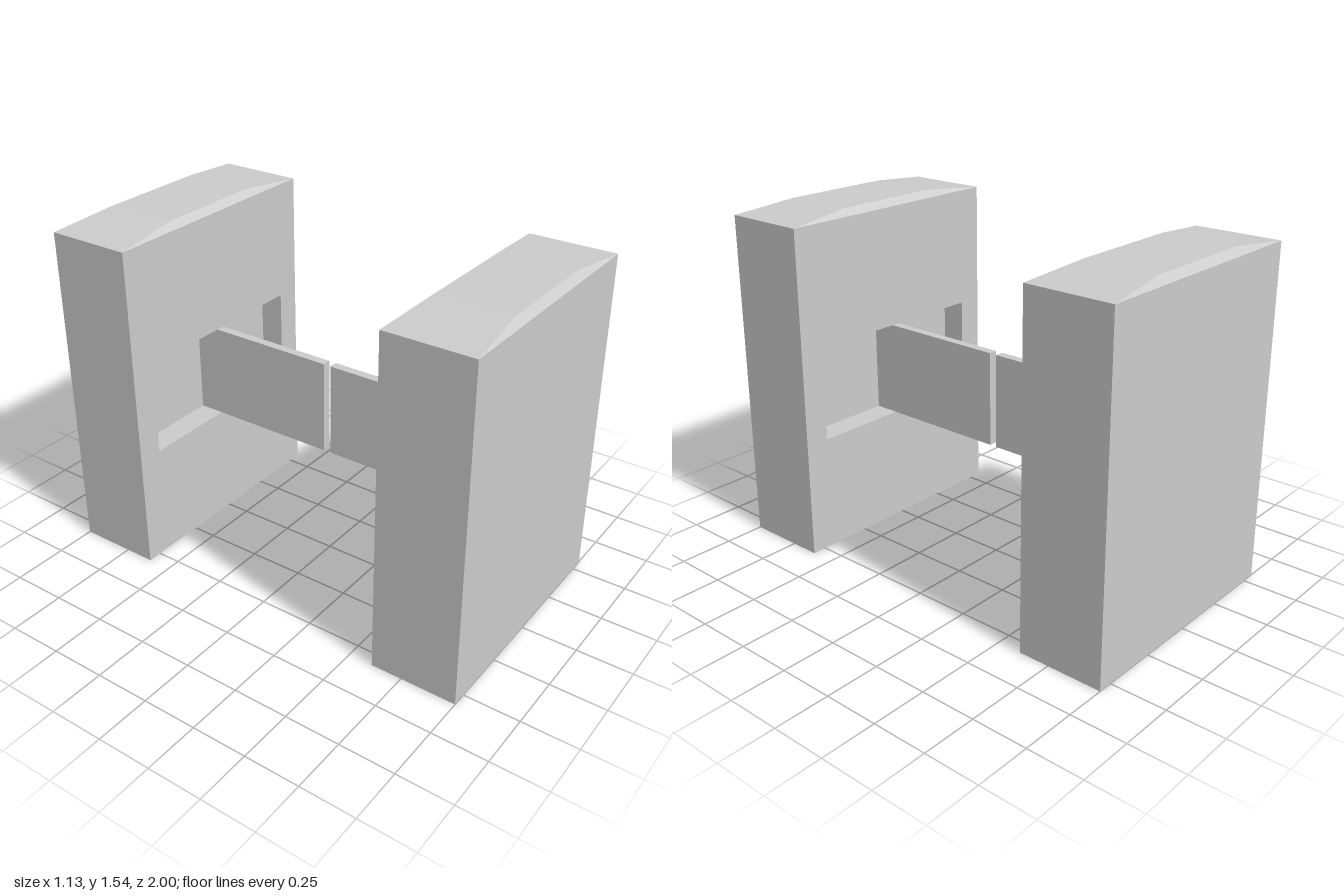
import * as THREE from 'three';

const W = 0.565;                 // half width of a cabinet
const INNER = 0.61, OUTER = 1;   // cabinet depth range
const H = 1.51, RIDGE = 1.54;    // wall height, lid height
const SLOT = { x: 0.45, y0: 0.53, y1: 0.96, z: 0.725 };

const material = new THREE.MeshStandardMaterial({ color: 0xcccccc, flatShading: true });

// Rectangular cross-section at depth z, counter-clockwise seen from +z
const ring = (hx, y0, y1, z) => [[-hx, y0, z], [hx, y0, z], [hx, y1, z], [-hx, y1, z]];

// Joins rectangular rings; the start cap is optional, the end is always closed
function loft(rings, capStart) {
  const pos = [];
  const quad = (a, b, c, d) => [a, b, c, a, c, d].forEach((p) => pos.push(...p));
  for (let r = 0; r < rings.length - 1; r++) {
    const a = rings[r], b = rings[r + 1];
    for (let i = 0; i < 4; i++) {
      const j = (i + 1) % 4;
      quad(a[i], a[j], b[j], b[i]);
    }
  }
  if (capStart) quad(...[...rings[0]].reverse());
  quad(...rings[rings.length - 1]);
  const geo = new THREE.BufferGeometry();
  geo.setAttribute('position', new THREE.Float32BufferAttribute(pos, 3));
  geo.computeVertexNormals();
  return geo;
}

function part(geo, name) {
  const mesh = new THREE.Mesh(geo, material);
  mesh.name = name;
  return mesh;
}

function createGate(name) {
  const gate = new THREE.Group();
  gate.name = name;

  // Cabinet: recess back, recess mouth, inner face, outer face
  gate.add(part(loft([
    ring(SLOT.x, SLOT.y0, SLOT.y1, SLOT.z),
    ring(SLOT.x, SLOT.y0, SLOT.y1, INNER),
    ring(W, 0, H, INNER),
    ring(W, 0, H, OUTER),
  ], true), 'cabinet'));

  // Shallow hipped lid
  const d = (OUTER - INNER) / 2, bevel = 0.03;
  const lid = loft([ring(W, -d, d, H), ring(0.26, -d + bevel, d - bevel, RIDGE)], false);
  lid.rotateX(-Math.PI / 2).translate(0, 0, (INNER + OUTER) / 2);
  gate.add(part(lid, 'lid'));

  // Thin barrier panel reaching from the recess to the middle of the passage
  const z0 = 0.017;
  const panel = part(new THREE.BoxGeometry(0.04, SLOT.y1 - SLOT.y0, SLOT.z - z0), 'barrierPanel');
  panel.position.set(0, (SLOT.y0 + SLOT.y1) / 2, (SLOT.z + z0) / 2);
  gate.add(panel);
  return gate;
}

export function createModel() {
  const model = new THREE.Group();
  model.name = 'passageGate';
  const rear = createGate('rearGate');
  rear.rotation.y = Math.PI;
  model.add(createGate('frontGate'), rear);
  return model;
}
